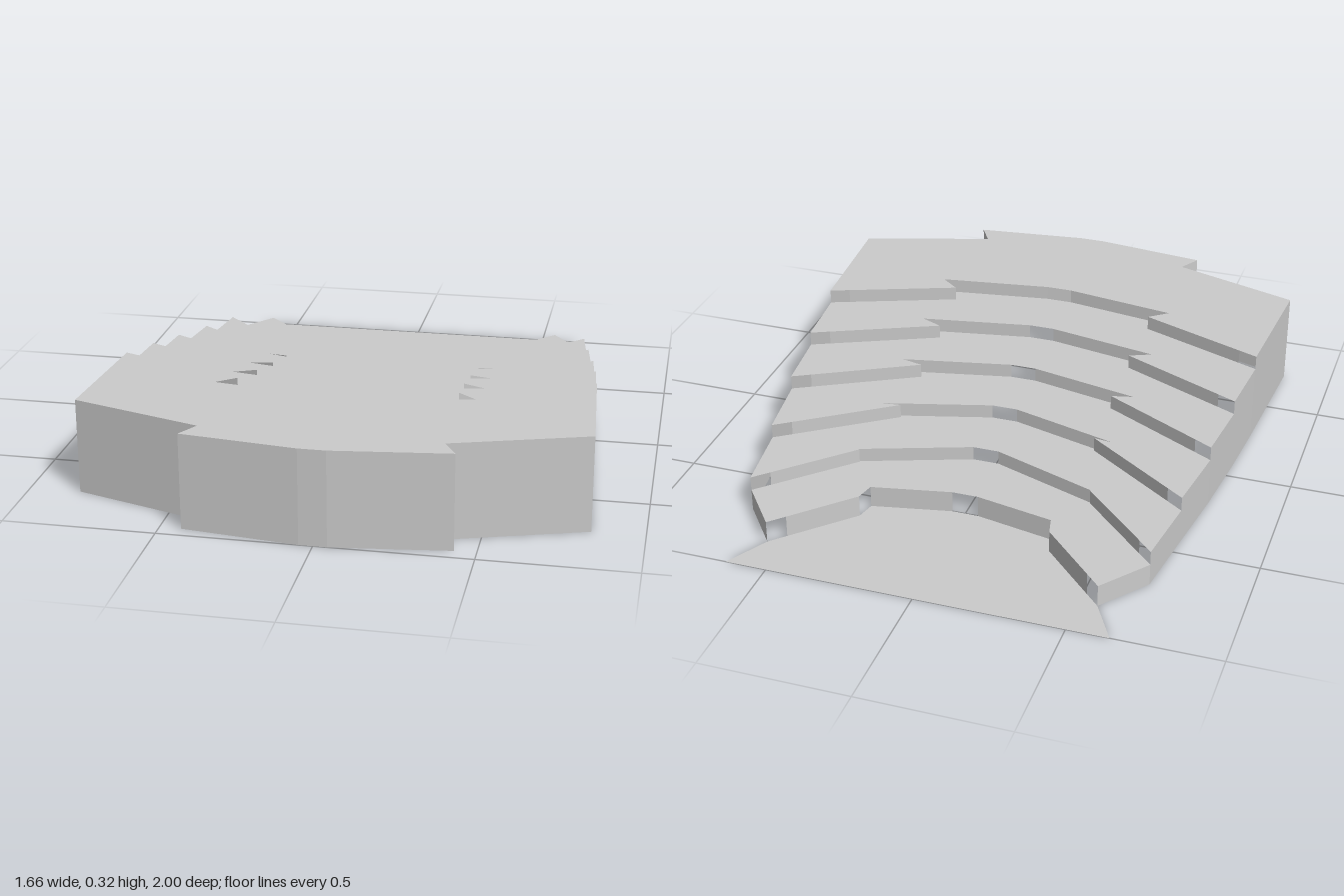
import * as THREE from 'three';

const material = new THREE.MeshStandardMaterial({ color: 0xcccccc, side: THREE.DoubleSide, flatShading: true });

// Step lines on the +x half, from centre to side wall, as [x, z].
// The kink between points 1 and 2 is the notch.
const lines = [
  [[0.045, -0.5], [0.315, -0.555], [0.33, -0.62], [0.56, -0.855]],
  [[0.045, -0.285], [0.412, -0.418], [0.408, -0.42], [0.685, -0.695]],
  [[0.045, -0.08], [0.415, -0.185], [0.35, -0.177], [0.72, -0.44]],
  [[0.045, 0.13], [0.425, 0.048], [0.35, 0.03], [0.755, -0.19]],
  [[0.045, 0.345], [0.43, 0.273], [0.355, 0.24], [0.78, 0.045]],
  [[0.045, 0.563], [0.432, 0.503], [0.368, 0.452], [0.8, 0.285]],
  [[0.045, 1], [0.43, 0.953], [0.388, 0.88], [0.83, 0.74]],
];
const OUTER_GAP = 0.07; // opening between each riser and the side wall
const level = (i) => (i < 0 ? 0 : 0.076 + 0.049 * i);
const mirror = ([x, z]) => [-x, z];
// Full-width line running from -x to +x
const fullLine = (half) => [...half.map(mirror).reverse(), ...half];

function add(group, name, geometry) {
  const mesh = new THREE.Mesh(geometry, material);
  mesh.name = name;
  group.add(mesh);
}

// Flat sheet with a plan outline of [x, z] points
function sheet(points, y) {
  const shape = new THREE.Shape(points.map(([x, z]) => new THREE.Vector2(x, -z)));
  return new THREE.ShapeGeometry(shape).rotateX(-Math.PI / 2).translate(0, y, 0);
}

// Upright panel above the plan segment a-b
function panel(a, b, y0, y1) {
  const geometry = new THREE.BufferGeometry();
  geometry.setAttribute('position', new THREE.Float32BufferAttribute([
    a[0], y0, a[1], b[0], y0, b[1], b[0], y1, b[1], a[0], y1, a[1],
  ], 3));
  geometry.setIndex([0, 1, 2, 0, 2, 3]);
  geometry.computeVertexNormals();
  return geometry;
}

// Panel and its mirror image, each facing outwards
function panelPair(group, name, a, b, y0, y1) {
  add(group, name + 'Left', panel(a, b, y0, y1));
  add(group, name + 'Right', panel(mirror(b), mirror(a), y0, y1));
}

export function createModel() {
  const group = new THREE.Group();
  group.name = 'steppedSeatingTiers';

  // Flat stage at floor level
  add(group, 'stage', sheet([[-0.64, -1], [0.64, -1], ...fullLine(lines[0]).reverse()], 0));

  for (let i = 0; i < 6; i++) {
    const tier = new THREE.Group();
    tier.name = 'tier' + (i + 1);
    group.add(tier);
    const back = lines[i], front = lines[i + 1];
    const y = level(i), below = level(i - 1);

    // Tread
    add(tier, 'tread', sheet([...fullLine(back), ...fullLine(front).reverse()], y));

    // Risers: open at the centre, at the notches and beside the wall
    const [p0, p1, p2, p3] = back;
    const length = Math.hypot(p3[0] - p2[0], p3[1] - p2[1]);
    const t = 1 - OUTER_GAP / length;
    const end = [p2[0] + (p3[0] - p2[0]) * t, p2[1] + (p3[1] - p2[1]) * t];
    panelPair(tier, 'innerRiser', p1, p0, below, y);
    panelPair(tier, 'outerRiser', end, p2, below, y);

    // Side walls down to the floor
    panelPair(tier, 'sideWall', front[3], back[3], 0, y);
  }

  // Continuous front wall
  const frontLine = fullLine(lines[6]);
  for (let i = 0; i < frontLine.length - 1; i++) {
    add(group, 'frontWall' + (i + 1), panel(frontLine[i], frontLine[i + 1], 0, level(5)));
  }
  return group;
}
